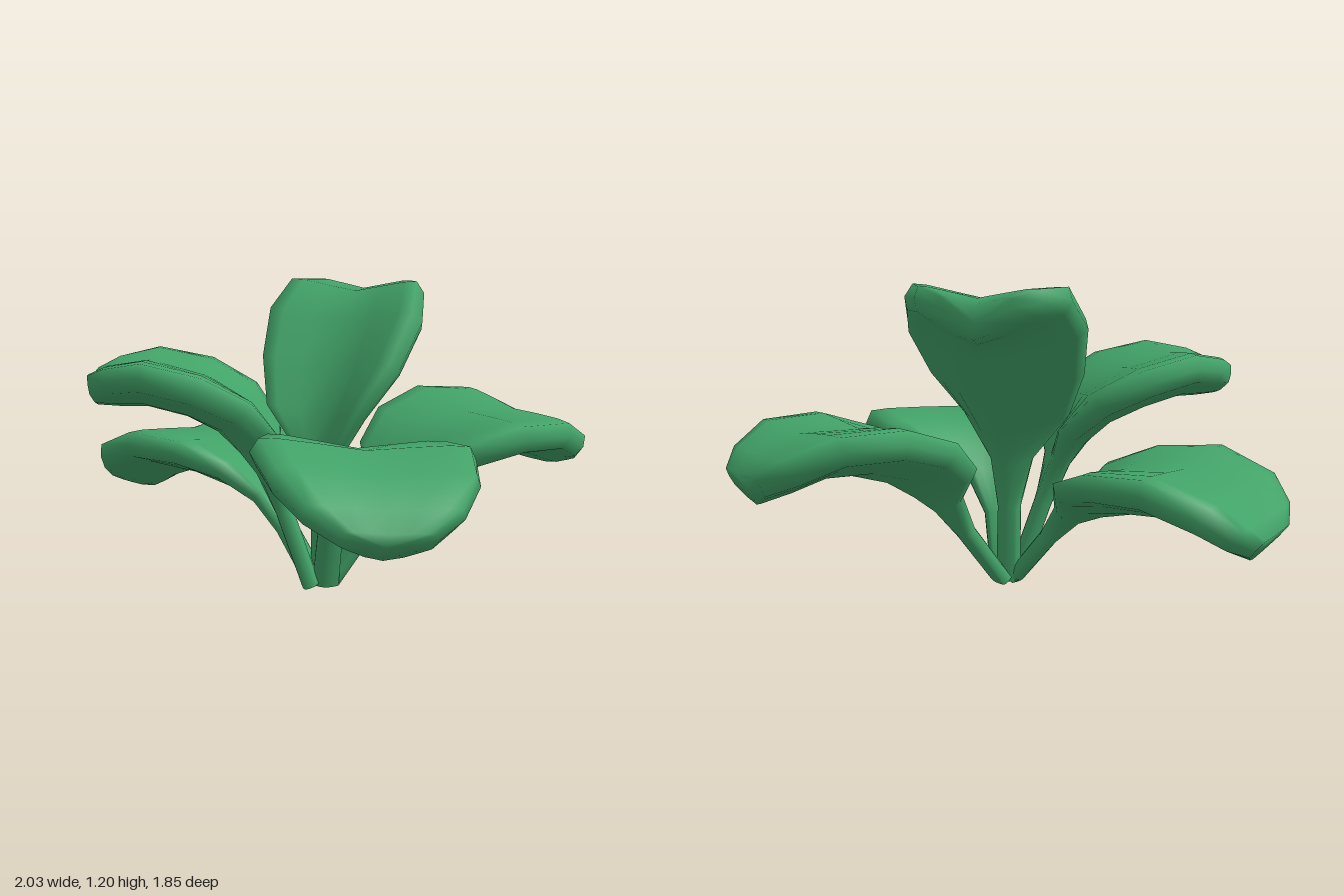
import * as THREE from 'three';

// Shared leaf outline: [position along spine, share of width, edge fold, half thickness]
const OUTLINE = [
  [0, 0.13, 0, 0.035], [0.6, 0.12, 0, 0.035], [1, 0.24, 0.03, 0.045],
  [1.4, 0.62, 0.1, 0.065], [2, 0.88, 0.09, 0.085], [3, 1, 0.08, 0.09],
  [4, 0.9, 0.07, 0.09], [4.6, 0.68, 0.055, 0.08], [5, 0.4, 0.04, 0.06],
];

// Closed cross-section: across the top from one edge to the other, then back below
const ACROSS = [0.93, 0.75, 0.4, 0, -0.4, -0.75, -0.93];
const SECTION = [[1, 0], ...ACROSS.map(u => [u, 1]), [-1, 0], ...ACROSS.map(u => [-u, -1])];

// Lofts stem and blade in one piece along a spine of six points
function leafGeometry(spine, { heading, halfWidth, roll = 0, fold = 1 }) {
  const curve = new THREE.CatmullRomCurve3(spine.map(p => new THREE.Vector3(...p)));
  const side = new THREE.Vector3(Math.cos(heading), roll, -Math.sin(heading));
  const positions = [], index = [];
  const n = SECTION.length;
  for (const [along, share, edgeLift, thick] of OUTLINE) {
    const centre = curve.getPoint(along / 5);
    const up = curve.getTangent(along / 5).cross(side).normalize();
    for (const [u, face] of SECTION) {
      // The blade rises from its midrib, then rolls over at the rim
      const rise = Math.min(Math.abs(u) ** 1.3, 0.85);
      const lift = fold * edgeLift * rise + face * thick * (1 - 0.5 * u * u);
      const p = centre.clone().addScaledVector(side, u * share * halfWidth).addScaledVector(up, lift);
      positions.push(p.x, Math.max(p.y, 0), p.z);
    }
  }
  const last = OUTLINE.length - 1;
  for (let i = 0; i < last; i++) {
    for (let j = 0; j < n; j++) {
      const a = i * n + j, b = i * n + (j + 1) % n;
      index.push(a, b, b + n, a, b + n, a + n);
    }
  }
  // Close the stem foot and the leaf tip
  const foot = positions.length / 3;
  positions.push(...spine[0], ...spine[spine.length - 1]);
  for (let j = 0; j < n; j++) {
    const k = (j + 1) % n;
    index.push(foot, k, j, foot + 1, last * n + j, last * n + k);
  }
  const geometry = new THREE.BufferGeometry();
  geometry.setAttribute('position', new THREE.Float32BufferAttribute(positions, 3));
  geometry.setIndex(index);
  geometry.computeVertexNormals();
  return geometry;
}

export function createModel() {
  const plant = new THREE.Group();
  plant.name = 'leafyPlant';
  const leafGreen = new THREE.MeshStandardMaterial({ color: 0x42a368 });
  leafGreen.name = 'leafGreen';

  // Heading is the compass angle of the leaf, measured from the front
  const addLeaf = (name, shape, ...spine) => {
    const leaf = new THREE.Mesh(leafGeometry(spine, shape), leafGreen);
    leaf.name = name;
    plant.add(leaf);
  };

  addLeaf('backRightLeaf', { heading: -2.285, halfWidth: 0.4 },
    [-0.1, 0.01, -0.04], [-0.29, 0.31, -0.22], [-0.46, 0.44, -0.43],
    [-0.61, 0.46, -0.56], [-0.75, 0.4, -0.67], [-0.85, 0.3, -0.75]);
  addLeaf('rightLeaf', { heading: -1.57, halfWidth: 0.385 },
    [-0.12, 0.01, 0.02], [-0.29, 0.48, 0], [-0.42, 0.69, -0.01],
    [-0.56, 0.77, -0.02], [-0.74, 0.82, -0.01], [-0.94, 0.8, 0.01]);
  addLeaf('frontLeaf', { heading: 0.17, halfWidth: 0.41, roll: -0.08 },
    [-0.06, 0.01, 0], [-0.02, 0.4, 0.12], [0.05, 0.53, 0.29],
    [0.06, 0.55, 0.46], [0.08, 0.51, 0.64], [0.11, 0.39, 0.83]);
  addLeaf('leftLeaf', { heading: 1.94, halfWidth: 0.46, roll: 0.06 },
    [-0.04, 0.01, -0.05], [0.2, 0.34, -0.09], [0.38, 0.52, -0.15],
    [0.54, 0.58, -0.22], [0.72, 0.58, -0.28], [0.92, 0.48, -0.36]);
  addLeaf('uprightLeaf', { heading: 2.51, halfWidth: 0.37, fold: 1.5 },
    [-0.07, 0.01, -0.05], [-0.06, 0.5, -0.09], [0.02, 0.81, -0.23],
    [0.07, 0.98, -0.34], [0.1, 1.07, -0.44], [0.14, 1.08, -0.57]);
  return plant;
}
